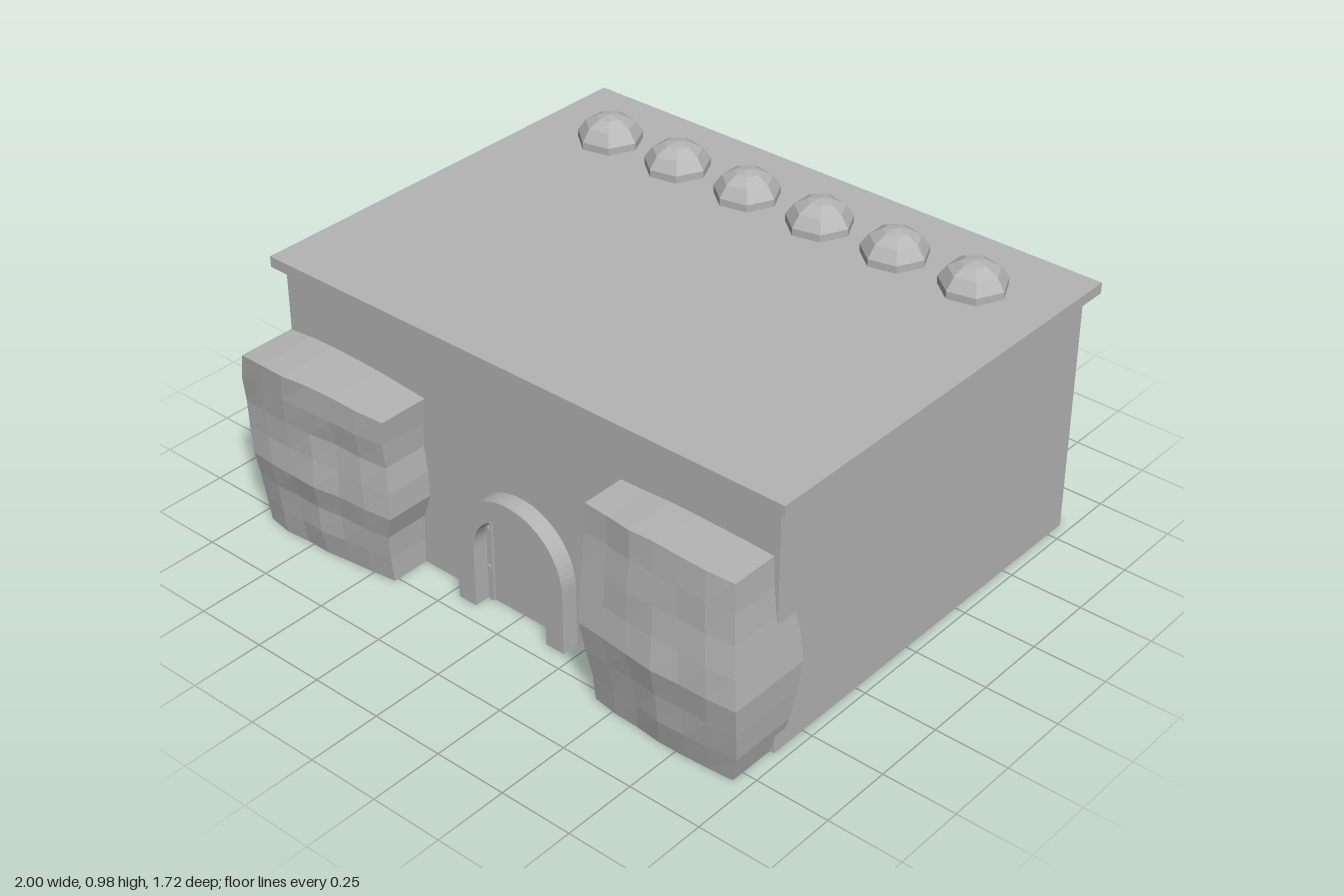
import * as THREE from 'three';

const stone = new THREE.MeshStandardMaterial({ color: 0xb4b4b4, flatShading: true });
stone.name = 'grey stone';

function add(parent, name, geometry, x = 0, y = 0, z = 0) {
  const mesh = new THREE.Mesh(geometry, stone);
  mesh.name = name;
  mesh.position.set(x, y, z);
  parent.add(mesh);
  return mesh;
}

// Box given by its lower and upper corners
function block(parent, name, [x0, y0, z0], [x1, y1, z1]) {
  return add(parent, name, new THREE.BoxGeometry(x1 - x0, y1 - y0, z1 - z0),
    (x0 + x1) / 2, (y0 + y1) / 2, (z0 + z1) / 2);
}

// Linear lookup in an evenly spaced profile, t from 0 to 1
function sample(profile, t) {
  const f = t * (profile.length - 1);
  const i = Math.min(Math.floor(f), profile.length - 2);
  return THREE.MathUtils.lerp(profile[i], profile[i + 1], f - i);
}

// Rough rock: a divided box bent to edge profiles (bottom to top), open below
function rock(parent, name, { height, left, right, front, bow, crown, seed }) {
  const geometry = new THREE.BoxGeometry(1, 1, 1, 6, 7, 3);
  const underside = geometry.groups[3];
  const index = Array.from(geometry.index.array);
  index.splice(underside.start, underside.count);
  geometry.setIndex(index);
  geometry.clearGroups();
  const p = geometry.attributes.position;
  for (let i = 0; i < p.count; i++) {
    const u = p.getX(i) + 0.5, v = p.getY(i) + 0.5, w = p.getZ(i) + 0.5;
    const wobble = Math.sin(u * 9 + v * 14 + seed) * Math.cos(v * 11 - u * 5 + seed) * 0.009;
    const zFront = sample(front, v) + sample(bow, u) + wobble * Math.sin(Math.PI * u);
    const zBack = 0.6 - 0.06 * Math.sin(Math.PI * v);
    p.setXYZ(i,
      THREE.MathUtils.lerp(sample(left, v), sample(right, v), u),
      v * (height + sample(crown, u)),
      THREE.MathUtils.lerp(zBack, zFront, w));
  }
  geometry.computeVertexNormals();
  add(parent, name, geometry);
}

export function createModel() {
  const model = new THREE.Group();
  model.name = 'building';

  // Main body and overhanging roof slab
  block(model, 'walls', [-0.965, 0, -0.82], [0.965, 0.85, 0.63]);
  block(model, 'roofSlab', [-1, 0.85, -0.86], [1, 0.887, 0.66]);

  // Row of seven-sided domes along the back of the roof
  const domeProfile = [[0.11, 0], [0.11, 0.025], [0.083, 0.065], [0.042, 0.088], [0, 0.096]]
    .map(([r, y]) => new THREE.Vector2(r, y));
  const domes = new THREE.Group();
  domes.name = 'roofDomes';
  model.add(domes);
  for (let i = 0; i < 6; i++) {
    const dome = add(domes, 'dome', new THREE.LatheGeometry(domeProfile, 7), -0.725 + i * 0.29, 0.887, -0.585);
    dome.rotation.y = Math.PI / 2;
  }

  // Raised arch around the doorway
  const outer = 0.215, inner = 0.145, spring = 0.218;
  const arch = new THREE.Shape();
  arch.moveTo(outer, 0);
  arch.lineTo(outer, spring);
  arch.absarc(0, spring, outer, 0, Math.PI, false);
  arch.lineTo(-outer, 0);
  arch.lineTo(-inner, 0);
  arch.lineTo(-inner, spring);
  arch.absarc(0, spring, inner, Math.PI, 0, true);
  arch.lineTo(inner, 0);
  add(model, 'doorArch', new THREE.ExtrudeGeometry(arch, { depth: 0.07, bevelEnabled: false, curveSegments: 16 }), 0, 0, 0.62);

  // Door frame with hinges
  for (const s of [-1, 1]) {
    const jamb = block(model, 'doorJamb', [-0.01, 0, 0.625], [0.01, 0.29, 0.638]);
    jamb.position.x = s * 0.13;
    for (const y of [0.125, 0.27]) {
      add(model, 'doorHinge', new THREE.BoxGeometry(0.012, 0.012, 0.008), s * 0.13, y, 0.64);
    }
  }
  block(model, 'doorLintel', [-0.09, 0.333, 0.625], [0.09, 0.345, 0.638]);

  // Rocks on both sides of the entrance
  rock(model, 'rightRock', {
    height: 0.62, seed: 1,
    left: [-0.95, -0.955, -0.96, -0.965, -0.978, -0.988, -0.987, -0.97],
    right: [-0.42, -0.42, -0.415, -0.385, -0.388, -0.4, -0.395, -0.385],
    front: [0.79, 0.8, 0.81, 0.825, 0.82, 0.815, 0.825, 0.83],
    bow: [0, 0.012, 0.012, 0.008, 0, -0.01, -0.025],
    crown: [0.005, 0.016, 0.019, 0.017, 0.014, 0.006, -0.002],
  });
  rock(model, 'leftRock', {
    height: 0.682, seed: 4,
    left: [0.425, 0.428, 0.415, 0.402, 0.397, 0.395, 0.395, 0.396],
    right: [0.95, 0.974, 0.983, 0.99, 0.976, 0.96, 0.95, 0.946],
    front: [0.8, 0.815, 0.83, 0.842, 0.83, 0.815, 0.805, 0.8],
    bow: [-0.02, -0.01, 0, 0.005, 0.008, 0.004, -0.006],
    crown: [0, 0.003, 0.008, 0.008, 0.006, 0.004, 0],
  });

  return model;
}
